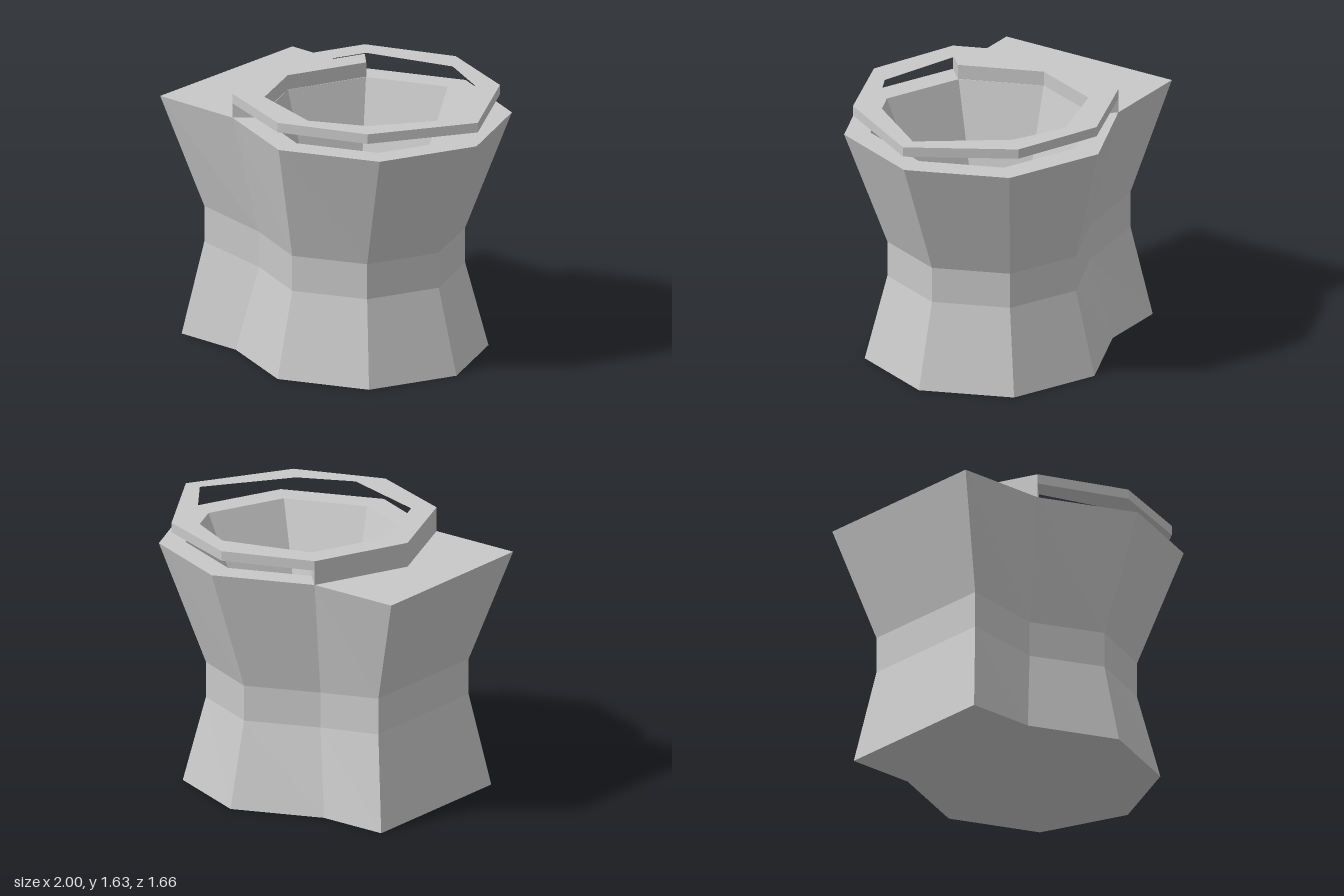
import * as THREE from 'three';

// Mirror a front-to-back half outline of [x, z, y] points into a closed loop
function loop(half, y = 0) {
  const pts = half.map(([x, z, h = y]) => new THREE.Vector3(x, h, z));
  const other = half.filter(p => p[1] > 0).reverse()
    .map(([x, z, h = y]) => new THREE.Vector3(x, h, -z));
  return pts.concat(other);
}

// Flat-faced wall through loops; bottom to top faces out, top to bottom faces in
function loft(loops) {
  const pts = [];
  for (let k = 0; k < loops.length - 1; k++) {
    const a = loops[k], b = loops[k + 1];
    for (let i = 0; i < a.length; i++) {
      const n = (i + 1) % a.length;
      pts.push(a[i], b[i], b[n], a[i], b[n], a[n]);
    }
  }
  const g = new THREE.BufferGeometry().setFromPoints(pts);
  g.computeVertexNormals();
  return g;
}

function shapeOf(outer, hole) {
  const flat = l => l.map(p => new THREE.Vector2(p.x, -p.z));
  const s = new THREE.Shape(flat(outer));
  if (hole) s.holes.push(new THREE.Path(flat(hole)));
  return s;
}

const cap = (outer, hole, y, up) =>
  new THREE.ShapeGeometry(shapeOf(outer, hole)).rotateX(up ? -Math.PI / 2 : Math.PI / 2).translate(0, y, 0);

const slab = (shape, y, h) =>
  new THREE.ExtrudeGeometry(shape, { depth: h, bevelEnabled: false }).rotateX(-Math.PI / 2).translate(0, y, 0);

export function createModel() {
  const group = new THREE.Group();
  const porcelain = new THREE.MeshStandardMaterial({ color: 0xc8c8c8, flatShading: true });
  porcelain.name = 'porcelainGrey';
  const add = (name, geometry) => {
    const m = new THREE.Mesh(geometry, porcelain);
    m.name = name;
    group.add(m);
  };

  // Waisted pedestal: half octagon running into a square back
  const base = loop([[0.83, 0], [0.61, 0.53], [0.08, 0.75], [-0.45, 0.53], [-0.88, 0.53]], 0);
  const waistLow = loop([[0.69, 0], [0.51, 0.435], [0.08, 0.62], [-0.35, 0.435], [-0.785, 0.435, 0.575]], 0.52);
  const waistHigh = loop([[0.69, 0], [0.51, 0.435], [0.08, 0.62], [-0.35, 0.435], [-0.785, 0.435, 0.8]], 0.74);
  const top = loop([[0.99, 0], [0.745, 0.587], [0.16, 0.83], [-0.425, 0.587], [-1, 0.587]], 1.48);
  add('pedestalWall', loft([base, waistLow, waistHigh, top]));
  add('pedestalBottom', cap(base, null, 0, false));

  // Rim and sunken bowl
  const rim = loop([[0.83, 0], [0.634, 0.474], [0.16, 0.67], [-0.314, 0.474], [-0.51, 0]], 1.48);
  const floor = loop([[0.577, 0], [0.44, 0.333], [0.11, 0.47], [-0.222, 0.333], [-0.36, 0]], 0.94);
  add('rimTop', cap(top, rim, 1.48, true));
  add('bowlWall', loft([rim, floor]));
  add('bowlFloor', cap(floor, null, 0.94, true));

  // Seat ring raised above the rim, carried by a block at the back
  const seatOuter = loop([[1, 0], [0.65, 0.587], [0.117, 0.79], [-0.425, 0.587], [-0.665, 0]]);
  const seatHole = loop([[0.895, 0], [0.547, 0.48], [0.225, 0.642], [-0.317, 0.48], [-0.512, 0]]);
  add('seatRing', slab(shapeOf(seatOuter, seatHole), 1.57, 0.06));
  const block = [...seatOuter.slice(3, 6), ...seatHole.slice(3, 6).reverse()];
  add('seatBackBlock', slab(shapeOf(block), 1.48, 0.09));
  return group;
}
